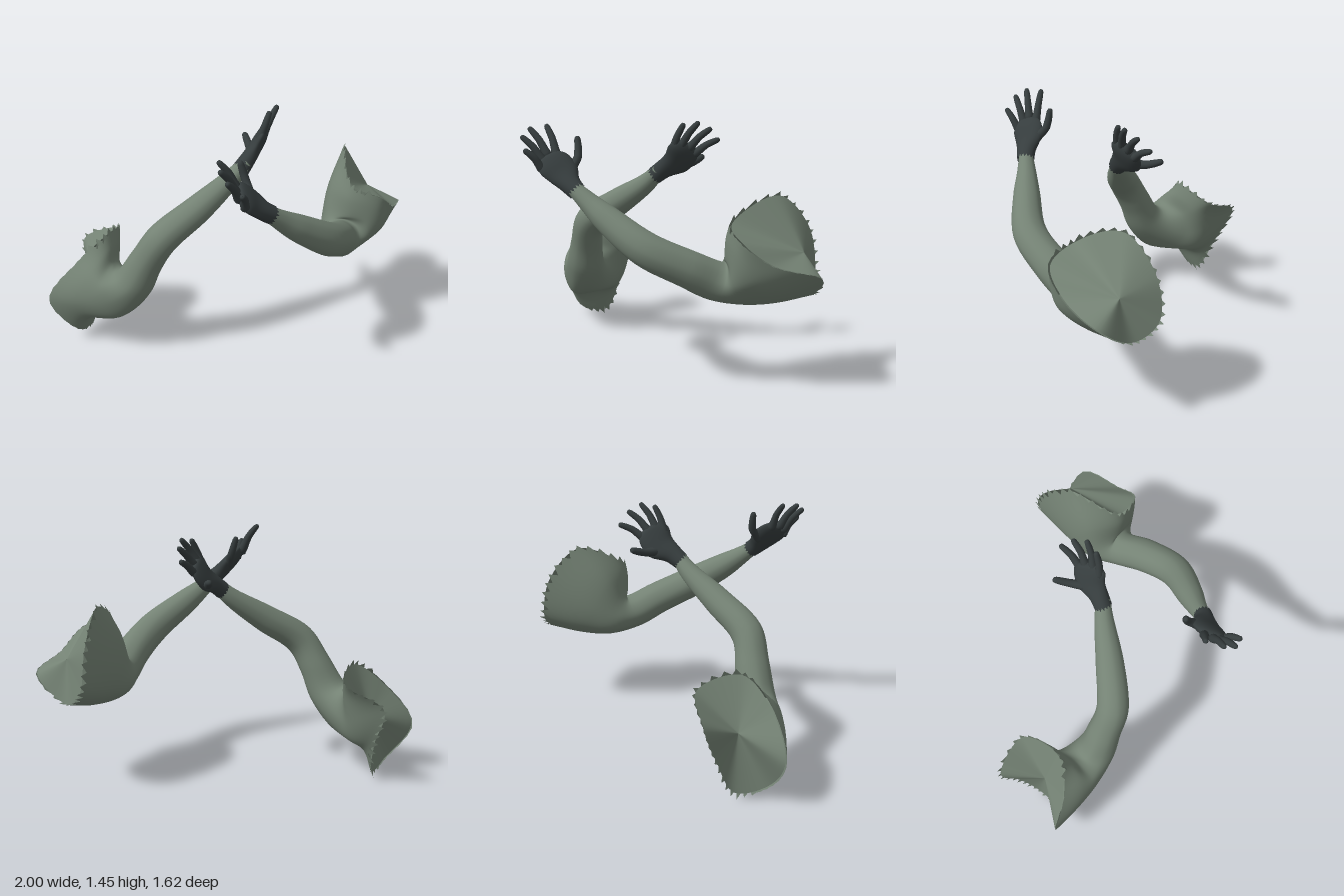
import * as THREE from 'three';

const V = (a) => new THREE.Vector3(a[0], a[1], a[2]);

// Eight-point elliptical rings along a path of [x, y, z, radius, flatness]
function limbRings(path, up, side = 1) {
  return path.map((p, i) => {
    const c = V(p);
    const t = V(path[Math.max(i - 1, 0)]).sub(V(path[Math.min(i + 1, path.length - 1)])).normalize();
    const u = V(up);
    u.addScaledVector(t, -u.dot(t)).normalize();
    const v = u.clone().cross(t).multiplyScalar(side);
    return Array.from({ length: 8 }, (_, k) => {
      const a = (k * Math.PI) / 4;
      return c.clone()
        .addScaledVector(u, Math.cos(a) * p[3])
        .addScaledVector(v, Math.sin(a) * p[3] * (p[4] ?? 1));
    });
  });
}

// Smooth skin through rings of control points; tear(u) roughens the last edge
function skin(rings, cols, steps, side = 1, tear = () => 0) {
  const loops = rings.map((r) => {
    const curve = new THREE.CatmullRomCurve3(r, true);
    return Array.from({ length: cols }, (_, j) => curve.getPoint(j / cols));
  });
  const rows = (rings.length - 1) * steps;
  const pos = [], index = [];
  const columns = Array.from({ length: cols }, (_, j) => new THREE.CatmullRomCurve3(loops.map((l) => l[j])));
  for (let i = 0; i <= rows; i++) {
    for (let j = 0; j < cols; j++) {
      const p = columns[j].getPoint(i / rows);
      if (i === rows) {
        const dir = p.clone().sub(columns[j].getPoint((i - 1) / rows)).normalize();
        const wobble = Math.abs(Math.sin(j * 12.9898) * 43758.5453) % 1;
        p.addScaledVector(dir, tear(j / cols) * (j % 2 ? 0.2 + 0.5 * wobble : -0.4 - 0.6 * wobble));
      }
      pos.push(p.x, p.y, p.z);
      if (i < rows) {
        const a = i * cols + j, b = i * cols + ((j + 1) % cols), c = a + cols, d = b + cols;
        if (side > 0) index.push(a, b, c, b, d, c);
        else index.push(a, c, b, b, c, d);
      }
    }
  }
  const g = new THREE.BufferGeometry();
  g.setAttribute('position', new THREE.Float32BufferAttribute(pos, 3));
  g.setIndex(index);
  g.computeVertexNormals();
  return g;
}

// Rounded finger from root through knuckle to tip
function fingerGeometry([root, tip, knuckle], bend, size = 1) {
  const a = V(root), c = V(tip);
  const b = knuckle ? V(knuckle) : a.clone().lerp(c, 0.5).add(V(bend));
  const at = (p, q, k, r) => [...p.clone().lerp(q, k).toArray(), r * size];
  const path = [
    at(b, c, 1, 0.001), at(b, c, 0.97, 0.01), at(b, c, 0.82, 0.016),
    at(a, b, 1, 0.02), at(a, b, 0.4, 0.023), at(a, b, 0, 0.025), at(a, b, -0.2, 0.001),
  ];
  return skin(limbRings(path, [1, 0.3, 0.2]), 12, 2);
}

const RIGHT = {
  side: 1, up: [-0.8, 0.55, 0],
  arm: [
    [0.14, 1.15, -0.01, 0.04], [0.07, 1.07, 0.04, 0.055], [-0.1, 0.92, 0.19, 0.083],
    [-0.28, 0.775, 0.325, 0.095], [-0.38, 0.62, 0.335, 0.1], [-0.47, 0.46, 0.33, 0.12],
  ],
  // Rings: top, top-back, back, bottom-back, bottom, bottom-front, front, top-front
  shoulder: [
    [[-0.62, 0.53, 0.27], [-0.62, 0.49, 0.14], [-0.62, 0.36, 0.11], [-0.57, 0.27, 0.17],
      [-0.5, 0.25, 0.3], [-0.56, 0.24, 0.4], [-0.64, 0.35, 0.445], [-0.64, 0.47, 0.42]],
    [[-0.64, 0.61, 0.22], [-0.64, 0.55, 0.05], [-0.71, 0.4, 0.01], [-0.72, 0.22, 0.08],
      [-0.73, 0.185, 0.22], [-0.77, 0.18, 0.36], [-0.82, 0.32, 0.42], [-0.72, 0.52, 0.38]],
    [[-0.67, 0.69, 0.2], [-0.68, 0.62, -0.06], [-0.92, 0.5, -0.07], [-0.85, 0.25, 0.02],
      [-0.81, 0.02, 0.14], [-0.85, 0.06, 0.31], [-1, 0.29, 0.375], [-0.82, 0.55, 0.33]],
  ],
  mouth: [-0.78, 0.38, 0.16],
  spread: [-0.05, -0.1, -0.2],
  palm: [
    [0.218, 1.31, -0.165, 0.003, 0.5], [0.212, 1.3, -0.16, 0.068, 0.33], [0.2, 1.265, -0.14, 0.1, 0.36],
    [0.165, 1.195, -0.108, 0.094, 0.44], [0.14, 1.155, -0.04, 0.062, 0.75], [0.11, 1.11, 0.012, 0.052, 1],
  ],
  bend: [0.005, 0.01, 0.005],
  fingers: [
    [[0.2, 1.27, -0.075], [0.25, 1.43, -0.13]],
    [[0.21, 1.29, -0.12], [0.28, 1.44, -0.21]],
    [[0.21, 1.28, -0.17], [0.26, 1.4, -0.29]],
    [[0.2, 1.245, -0.205], [0.22, 1.33, -0.35]],
  ],
  thumb: [[0.145, 1.17, -0.13], [0.065, 1.21, -0.3], [0.105, 1.18, -0.22]],
};

const LEFT = {
  side: -1, up: [0, 1, 0],
  arm: [
    [0.36, 1.11, 0.53, 0.04], [0.43, 1.03, 0.45, 0.058], [0.51, 0.95, 0.365, 0.078],
    [0.65, 0.81, 0.19, 0.097], [0.69, 0.7, -0.03, 0.104], [0.69, 0.62, -0.2, 0.112],
  ],
  // Rings: top, top-inner, inner, bottom-inner, bottom, bottom-outer, outer, top-outer
  shoulder: [
    [[0.72, 0.75, -0.235], [0.6, 0.71, -0.28], [0.55, 0.62, -0.33], [0.57, 0.53, -0.36],
      [0.67, 0.475, -0.36], [0.8, 0.52, -0.32], [0.86, 0.62, -0.25], [0.83, 0.73, -0.23]],
    [[0.72, 0.86, -0.24], [0.59, 0.87, -0.38], [0.555, 0.69, -0.5], [0.6, 0.55, -0.55],
      [0.71, 0.485, -0.55], [0.85, 0.54, -0.5], [0.93, 0.66, -0.32], [0.88, 0.8, -0.24]],
    [[0.73, 0.95, -0.26], [0.65, 1.08, -0.56], [0.62, 0.88, -0.76], [0.64, 0.62, -0.8],
      [0.77, 0.53, -0.74], [0.99, 0.68, -0.69], [0.98, 0.76, -0.42], [0.92, 0.88, -0.26]],
  ],
  mouth: [0.8, 0.78, -0.66],
  spread: [0.07, -0.09, 0.1],
  palm: [
    [0.23, 1.275, 0.65, 0.003, 0.5], [0.237, 1.264, 0.643, 0.068, 0.33], [0.26, 1.23, 0.62, 0.1, 0.36],
    [0.297, 1.178, 0.572, 0.094, 0.44], [0.345, 1.125, 0.543, 0.062, 0.75], [0.383, 1.088, 0.51, 0.052, 1],
  ],
  bend: [0.005, 0.01, -0.005],
  fingers: [
    [[0.213, 1.265, 0.595], [0.12, 1.43, 0.64]],
    [[0.22, 1.265, 0.645], [0.15, 1.42, 0.74]],
    [[0.24, 1.24, 0.675], [0.2, 1.38, 0.79]],
    [[0.275, 1.2, 0.685], [0.28, 1.315, 0.785]],
  ],
  thumb: [[0.28, 1.18, 0.535], [0.2, 1.37, 0.475], [0.235, 1.26, 0.478]],
};

export function createModel() {
  const sleeve = new THREE.MeshStandardMaterial({ color: 0x748274, side: THREE.DoubleSide });
  sleeve.name = 'sage sleeve';
  const glove = new THREE.MeshStandardMaterial({ color: 0x363d3e, side: THREE.DoubleSide });
  glove.name = 'dark glove';

  const model = new THREE.Group();
  model.name = 'pairOfArms';
  for (const [name, s] of [['right', RIGHT], ['left', LEFT]]) {
    const group = new THREE.Group();
    group.name = name + 'Arm';
    const add = (part, geometry, material) => {
      const mesh = new THREE.Mesh(geometry, material);
      mesh.name = name + part;
      group.add(mesh);
    };
    // Sleeve flaring into the shoulder shell, torn except along its outer fold
    const shoulder = s.shoulder.map((r) => r.map(V));
    const rings = [...limbRings(s.arm, s.up, s.side), ...shoulder];
    add('SleeveAndShoulder', skin(rings, 72, 6, s.side, (u) => (u > 0.58 && u < 0.92 ? 0.004 : 0.04)), sleeve);
    // Sheet drawn across the mouth of the shell
    const centre = V(s.mouth);
    const sheet = [0.03, 0.5, 0.99].map((k) => shoulder[2].map((p) => p.clone().lerp(centre, k)));
    add('ShoulderSheet', skin(sheet, 72, 4, s.side), sleeve);
    // Gloved hand with a ragged cuff
    add('Palm', skin(limbRings(s.palm, s.spread), 32, 4, 1, () => 0.015), glove);
    s.fingers.forEach((f, i) => add('Finger' + (i + 1), fingerGeometry(f, s.bend), glove));
    add('Thumb', fingerGeometry(s.thumb, s.bend, 1.15), glove);
    model.add(group);
  }
  return model;
}
